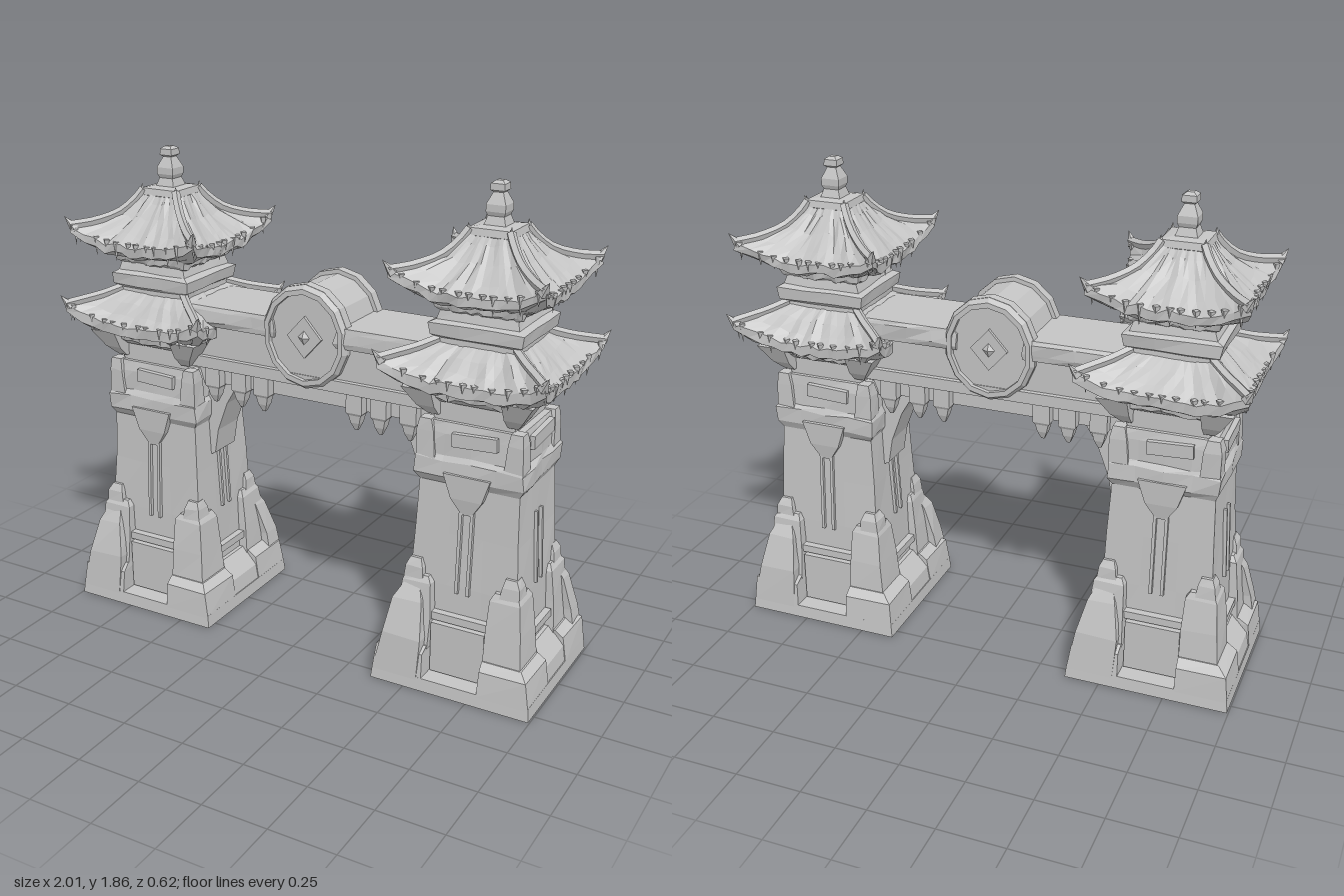
import * as THREE from 'three';

const stone = new THREE.MeshStandardMaterial({ color: 0xc4c4c4 });
stone.name = 'grey stone';

let seed = 7;
const rnd = () => {
  seed = (seed * 16807) % 2147483647;
  return seed / 2147483647 - 0.5;
};

// faceted mesh of any geometry
function add(parent, name, geometry, x = 0, y = 0, z = 0) {
  const g = geometry.index ? geometry.toNonIndexed() : geometry;
  g.computeVertexNormals();
  const mesh = new THREE.Mesh(g, stone);
  mesh.name = name;
  mesh.position.set(x, y, z);
  parent.add(mesh);
  return mesh;
}

// stack of rectangular rings, row = [y, halfX, halfZ, cornerLift, cornerPush, centreX, centreZ]
function loft(rows, n = 1, jitter = 0, streak = 0) {
  const pos = [], idx = [], m = 4 * n;
  const folds = Array.from({ length: m }, () => rnd() * streak);
  rows.forEach(([y, hx, hz, lift = 0, push = 0, cx = 0, cz = 0], i) => {
    const edge = i === 0 || i === rows.length - 1;
    for (let j = 0; j < m; j++) {
      const side = Math.floor(j / n), c = 2 * (j % n) / n - 1;
      const [u, v] = [[1, c], [-c, 1], [-1, -c], [c, -1]][side];
      const w = Math.abs(c) ** 4, k = 1 + push * w;
      const fold = edge || Math.abs(c) === 1 ? 0 : folds[j];
      const q = edge ? 0 : jitter;
      pos.push(cx + u * hx * k + rnd() * q, y + lift * w + fold + rnd() * q, cz + v * hz * k + rnd() * q);
    }
  });
  for (let i = 0; i < rows.length - 1; i++) {
    for (let j = 0; j < m; j++) {
      const a = i * m + j, b = i * m + (j + 1) % m;
      idx.push(a, a + m, b, b, a + m, b + m);
    }
  }
  const last = (rows.length - 1) * m;
  for (const [r, base, up] of [[rows[0], 0, 0], [rows.at(-1), last, 1]]) {
    const centre = pos.length / 3;
    pos.push(r[5] ?? 0, r[0], r[6] ?? 0);
    for (let j = 0; j < m; j++) {
      const a = base + j, b = base + (j + 1) % m;
      idx.push(centre, up ? b : a, up ? a : b);
    }
  }
  const g = new THREE.BufferGeometry();
  g.setAttribute('position', new THREE.Float32BufferAttribute(pos, 3));
  g.setIndex(idx);
  return g;
}

// off-centre block, row = [y, x0, x1, z0, z1], mirrored by sx and sz
const block = (rows, sx = 1, sz = 1, jitter = 0) => loft(rows.map(([y, x0, x1, z0, z1]) =>
  [y, (x1 - x0) / 2, (z1 - z0) / 2, 0, 0, sx * (x0 + x1) / 2, sz * (z0 + z1) / 2]), 1, jitter);

const box = (w, h, d) => new THREE.BoxGeometry(w, h, d);

// curved roof with corner ridges, upturned tips and hanging shards
function roof(parent, name, rows, eave) {
  const g = new THREE.Group();
  g.name = name;
  parent.add(g);
  add(g, 'roofShell', loft(rows, 14, 0.008, 0.016));
  const slope = rows.slice(eave);
  for (const sx of [-1, 1]) for (const sz of [-1, 1]) {
    const pts = slope.map(([y, hx, hz, lift = 0, push = 0]) =>
      new THREE.Vector3(sx * hx * (1 + push), y + lift + 0.005, sz * hz * (1 + push)));
    const curve = new THREE.CatmullRomCurve3(pts);
    add(g, 'cornerRidge', new THREE.TubeGeometry(curve, 8, 0.017, 5));
    const p = pts[0];
    const tip = add(g, 'ridgeTip', new THREE.ConeGeometry(0.022, 0.06, 5), p.x, p.y + 0.012, p.z);
    tip.rotation.set(sz * 0.5, 0, -sx * 0.5);
  }
  const [y, hx, hz, lift, push] = rows[eave];
  for (let side = 0; side < 4; side++) {
    for (let k = 0; k < 11; k++) {
      const c = -0.95 + k * 0.19 + rnd() * 0.08;
      const w = Math.abs(c) ** 4, s = (1 + push * w) * 0.97;
      const [u, v] = [[1, c], [-c, 1], [-1, -c], [c, -1]][side];
      const h = 0.055 + rnd() * 0.05;
      const shard = new THREE.ConeGeometry(0.014, h, 4).rotateX(Math.PI);
      add(g, 'eaveShard', shard, u * hx * s, y + lift * w - h / 2 + 0.012, v * hz * s);
    }
  }
}

function tower() {
  const t = new THREE.Group();
  // stepped base
  add(t, 'plinth', loft([[0, 0.315, 0.297], [0.05, 0.31, 0.292]]));
  for (const sx of [-1, 1]) {
    for (const sz of [-1, 1]) {
      add(t, 'cornerFoot', block([[0.04, 0.11, 0.311, 0.09, 0.293], [0.14, 0.11, 0.297, 0.09, 0.283],
        [0.165, 0.11, 0.262, 0.09, 0.25]], sx, sz, 0.008));
      add(t, 'cornerButtress', block([[0.15, 0.11, 0.257, 0.085, 0.247], [0.28, 0.11, 0.247, 0.09, 0.235],
        [0.4, 0.115, 0.232, 0.095, 0.218], [0.425, 0.13, 0.22, 0.11, 0.205]], sx, sz, 0.008));
      add(t, 'buttressKnob', block([[0.41, 0.15, 0.226, 0.135, 0.212], [0.455, 0.155, 0.222, 0.14, 0.208],
        [0.485, 0.165, 0.208, 0.15, 0.195]], sx, sz, 0.006));
    }
    add(t, 'sideSill', block([[0.04, 0.15, 0.308, -0.1, 0.1], [0.11, 0.15, 0.297, -0.1, 0.1],
      [0.18, 0.15, 0.235, -0.1, 0.1]], sx));
    add(t, 'sideSillBar', box(0.03, 0.03, 0.17), sx * 0.228, 0.24, 0);
    add(t, 'frontLedge', box(0.23, 0.03, 0.03), 0, 0.28, sx * 0.205);
    add(t, 'frontPanel', box(0.21, 0.2, 0.03), 0, 0.155, sx * 0.212);
    add(t, 'fallenStone', block([[0.04, -0.31, -0.13, 0.2, 0.294], [0.2, -0.28, -0.12, 0.2, 0.285],
      [0.33, -0.25, -0.14, 0.18, 0.245], [0.39, -0.22, -0.16, 0.17, 0.215]], sx, sx, 0.012));
  }
  // tapering shaft
  add(t, 'shaft', loft([[0.05, 0.225, 0.2], [0.4, 0.21, 0.188], [0.6, 0.2, 0.177], [0.84, 0.19, 0.166]], 3, 0.006));
  for (const s of [-1, 1]) {
    // narrow slits framed by bars
    for (const e of [-1, 1]) {
      add(t, 'frontSlitBar', box(0.012, 0.32, 0.018), e * 0.022, 0.54, s * 0.185).rotation.x = -s * 0.05;
      add(t, 'sideSlitBar', box(0.018, 0.28, 0.012), s * 0.206, 0.55, e * 0.024).rotation.z = s * 0.05;
    }
    // pointed stone hanging below the collar
    add(t, 'collarWedge', loft([[0.69, 0.02, 0.02, 0, 0, 0, s * 0.165], [0.75, 0.06, 0.025, 0, 0, 0, s * 0.17],
      [0.84, 0.09, 0.03, 0, 0, 0, s * 0.168]]));
    add(t, 'collarSlab', box(0.17, 0.05, 0.02), 0.02 * s, 0.97, s * 0.178).rotation.z = 0.05;
    add(t, 'sideSlab', box(0.02, 0.05, 0.19), s * 0.198, 0.98, 0).rotation.x = 0.05;
  }
  add(t, 'collar', loft([[0.79, 0.19, 0.168], [0.82, 0.208, 0.186], [0.88, 0.207, 0.184], [0.9, 0.194, 0.172],
    [0.98, 0.195, 0.168], [1.02, 0.18, 0.16]], 4, 0.01));
  for (const sx of [-1, 1]) for (const sz of [-1, 1]) {
    add(t, 'collarCorner', block([[0.86, 0.13, 0.204, 0.11, 0.182], [0.98, 0.14, 0.202, 0.12, 0.18],
      [1.025, 0.15, 0.195, 0.13, 0.175]], sx, sz, 0.008));
    add(t, 'bracket', block([[1.04, 0.13, 0.17, 0.11, 0.16], [1.08, 0.13, 0.2, 0.11, 0.2],
      [1.15, 0.13, 0.245, 0.11, 0.235]], sx, sz));
  }
  add(t, 'neck', loft([[1, 0.155, 0.145], [1.12, 0.15, 0.145]]));
  // lower roof
  roof(t, 'lowerRoof', [[1.09, 0.165, 0.155], [1.11, 0.2, 0.19], [1.14, 0.205, 0.195], [1.145, 0.25, 0.24, 0.02],
    [1.155, 0.275, 0.265, 0.07, 0.12], [1.195, 0.278, 0.267, 0.06, 0.11], [1.225, 0.24, 0.23, 0.045, 0.06],
    [1.265, 0.2, 0.195, 0.02, 0.02], [1.31, 0.145, 0.145]], 5);
  // waist between the roofs
  add(t, 'waist', loft([[1.27, 0.155, 0.155], [1.32, 0.155, 0.152], [1.33, 0.172, 0.165], [1.375, 0.178, 0.168],
    [1.385, 0.155, 0.15], [1.43, 0.14, 0.14]], 3, 0.006));
  // upper roof
  roof(t, 'upperRoof', [[1.41, 0.135, 0.135], [1.425, 0.16, 0.155], [1.45, 0.165, 0.16], [1.455, 0.21, 0.2, 0.02],
    [1.47, 0.248, 0.24, 0.07, 0.14], [1.505, 0.25, 0.242, 0.06, 0.13], [1.54, 0.205, 0.2, 0.035, 0.06],
    [1.595, 0.145, 0.142, 0.01], [1.65, 0.1, 0.1], [1.69, 0.075, 0.075]], 5);
  // crown and finial
  add(t, 'crown', loft([[1.66, 0.07, 0.07], [1.675, 0.086, 0.086], [1.7, 0.08, 0.08], [1.705, 0.05, 0.05]]));
  for (const sx of [-1, 1]) for (const sz of [-1, 1])
    add(t, 'crownPoint', new THREE.ConeGeometry(0.016, 0.045, 4), sx * 0.078, 1.695, sz * 0.078);
  add(t, 'finial', loft([[1.69, 0.045, 0.045], [1.735, 0.03, 0.03], [1.75, 0.036, 0.036], [1.775, 0.036, 0.036],
    [1.815, 0.018, 0.018], [1.822, 0.027, 0.027], [1.845, 0.026, 0.026], [1.855, 0.012, 0.012]]));
  return t;
}

function bridge() {
  const b = new THREE.Group();
  b.name = 'bridge';
  add(b, 'beam', box(1.1, 0.2, 0.25), 0, 1.15, 0);
  add(b, 'lowerRail', box(1.04, 0.055, 0.2), 0, 1, 0);
  add(b, 'middleRail', box(1.08, 0.045, 0.29), 0, 1.065, 0);
  for (const s of [-1, 1]) {
    add(b, 'topSlab', loft([[1.215, 0.2, 0.15], [1.235, 0.205, 0.157], [1.275, 0.2, 0.155], [1.292, 0.19, 0.148]],
      4, 0.01), s * 0.33, 0, 0);
    // hanging stubs
    for (const x of [0.2, 0.3, 0.42]) for (const z of [-0.11, 0.11])
      add(b, 'hangingStub', loft([[0.9, 0.006, 0.006], [0.93, 0.018, 0.018], [0.96, 0.025, 0.022],
        [0.97, 0.033, 0.028], [1.05, 0.033, 0.028]]), s * x, 0, z);
    // braces against the towers
    const shape = new THREE.Shape([[0.5, 0.64], [0.462, 0.66], [0.445, 0.76], [0.4, 0.88], [0.34, 0.98], [0.5, 0.98]]
      .map(([x, y]) => new THREE.Vector2(s * x, y)));
    add(b, 'brace', new THREE.ExtrudeGeometry(shape, { depth: 0.14, bevelEnabled: false }), 0, 0, -0.07);
  }
  // drum with rims, hubs and diamonds
  const drum = new THREE.Group();
  drum.name = 'drum';
  drum.position.set(0, 1.235, 0);
  drum.scale.set(0.9, 1, 1);
  b.add(drum);
  const disc = (name, r0, r1, d, z) =>
    add(drum, name, new THREE.CylinderGeometry(r0, r1, d, 14).rotateX(Math.PI / 2), 0, 0, z);
  disc('barrel', 0.183, 0.183, 0.26, 0);
  for (const s of [-1, 1]) {
    disc('rim', 0.2, 0.2, 0.04, s * 0.122);
    const lip = new THREE.LatheGeometry([[0.165, 0.135], [0.165, 0.162], [0.185, 0.162], [0.2, 0.14], [0.2, 0.135]]
      .map(([r, y]) => new THREE.Vector2(r, y)).reverse(), 14);
    lip.rotateX(s * Math.PI / 2);
    const ring = add(drum, 'lip', lip);
    // keep the facets facing outward
    const n = ring.geometry.attributes.normal, p = ring.geometry.attributes.position;
    let out = 0;
    for (let i = 0; i < n.count; i++) if (Math.abs(p.getZ(i)) > 0.155) out += n.getZ(i) * s;
    if (out < 0) {
      for (let i = 0; i < p.count; i += 3) {
        const a = [p.getX(i), p.getY(i), p.getZ(i)];
        p.setXYZ(i, p.getX(i + 1), p.getY(i + 1), p.getZ(i + 1));
        p.setXYZ(i + 1, ...a);
      }
      ring.geometry.computeVertexNormals();
    }
    add(drum, 'diamondPlate', new THREE.CylinderGeometry(0.08, 0.08, 0.014, 4).rotateX(Math.PI / 2), 0, 0, s * 0.147);
    add(drum, 'diamondBoss', new THREE.OctahedronGeometry(0.045), 0, 0, s * 0.145).scale.z = 0.5;
  }
  return b;
}

export function createModel() {
  seed = 7;
  const model = new THREE.Group();
  model.name = 'gate';
  for (const s of [-1, 1]) {
    const t = tower();
    t.name = s > 0 ? 'leftTower' : 'rightTower';
    t.position.x = s * 0.68;
    if (s < 0) t.rotation.y = Math.PI;
    model.add(t);
  }
  model.add(bridge());
  return model;
}
